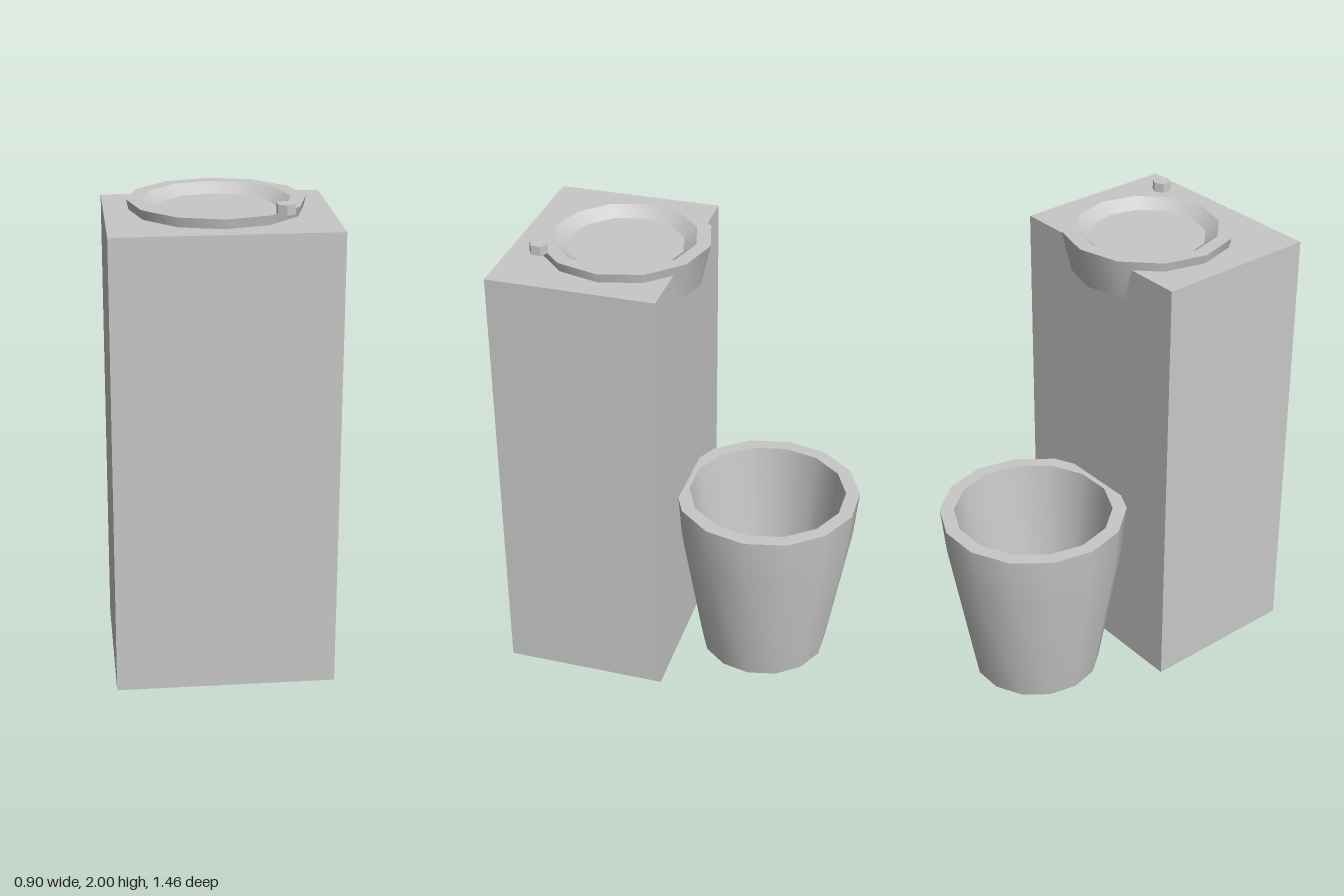
import * as THREE from 'three';
import { toCreasedNormals } from 'three/addons/utils/BufferGeometryUtils.js';

// Revolve a [radius, height] profile, keeping sharp rims and smooth walls
function revolve(profile, sides) {
  const points = profile.map(([r, y]) => new THREE.Vector2(r, y));
  const lathe = new THREE.LatheGeometry(points, sides, Math.PI / 2);
  return toCreasedNormals(lathe, 0.56);
}

export function createModel() {
  const group = new THREE.Group();
  const grey = new THREE.MeshStandardMaterial({ color: 0xc8c8c8 });
  grey.name = 'plain grey';

  const add = (name, geometry, x, y, z) => {
    const mesh = new THREE.Mesh(geometry, grey);
    mesh.name = name;
    mesh.position.set(x, y, z);
    group.add(mesh);
  };

  // Tall cabinet
  add('cabinet', new THREE.BoxGeometry(0.905, 1.92, 0.705), 0, 0.96, 0.375);

  // Basin set into the cabinet top, overhanging at the back
  add('basin', revolve([
    [0, 1.78], [0.32, 1.78], [0.36, 1.96], [0.3, 1.96], [0.2175, 1.9], [0, 1.9],
  ], 12), 0, 0, 0.29);

  // Small hexagonal button at the rim
  add('button', new THREE.CylinderGeometry(0.04, 0.04, 0.04, 6).toNonIndexed(), 0.24, 1.98, 0.575);
  group.children[2].geometry.computeVertexNormals();

  // Tapered open bin behind the cabinet
  add('bin', revolve([
    [0, 0], [0.282, 0], [0.382, 0.59], [0.403, 0.81], [0.342, 0.81], [0.242, 0.04], [0, 0.04],
  ], 14), 0, 0, -0.335);

  return group;
}
